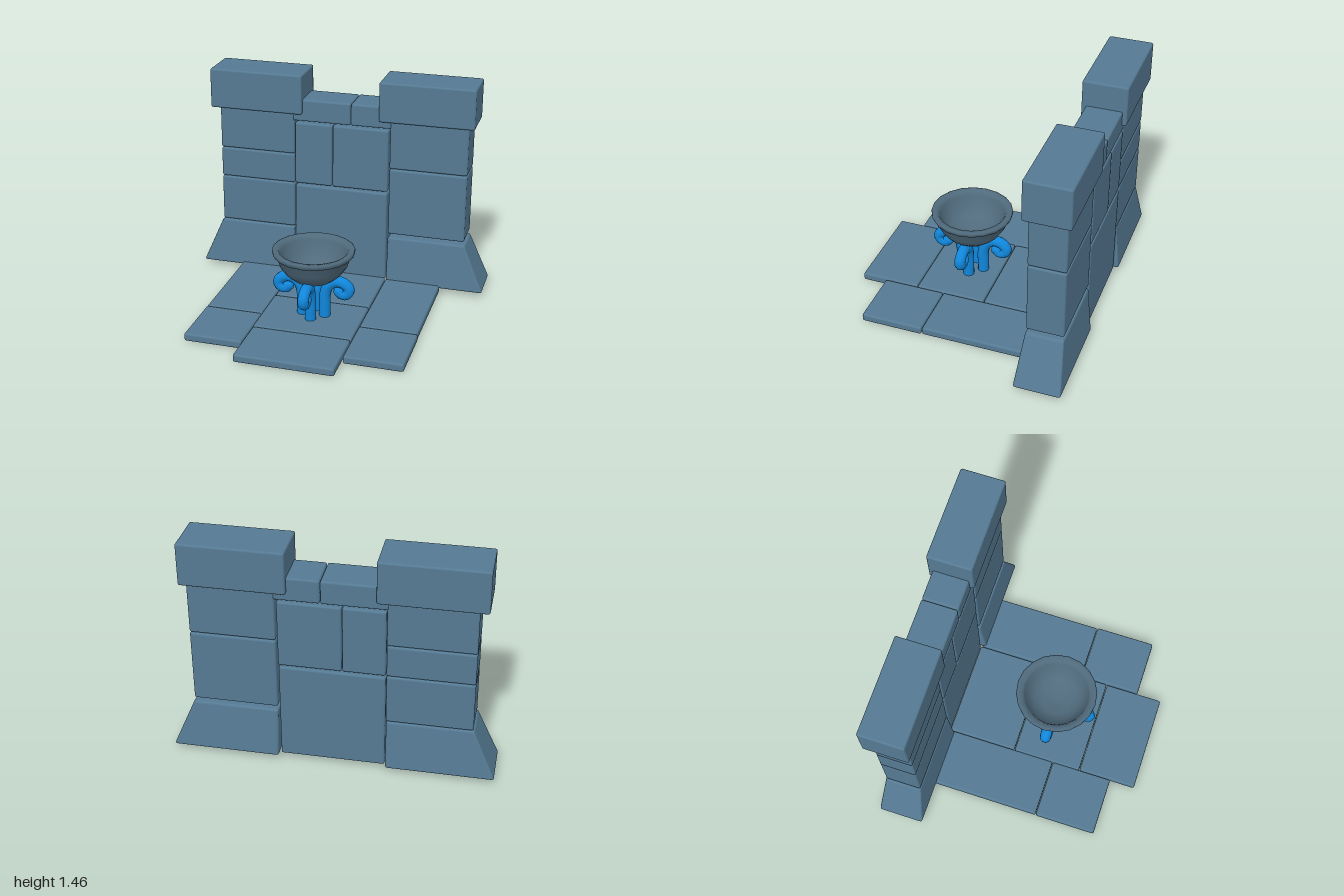
import * as THREE from 'three';
import { RoundedBoxGeometry } from 'three/addons/geometries/RoundedBoxGeometry.js';

export function createModel() {
  const model = new THREE.Group();
  model.name = 'brazierShrine';

  const material = (name, color) => {
    const m = new THREE.MeshStandardMaterial({ color });
    m.name = name;
    return m;
  };
  const stone = material('blue grey stone', 0x557a93);
  const iron = material('dark bowl', 0x506b7d);
  const blue = material('bright blue legs', 0x1087dc);

  const add = (parent, name, geometry, mat) => {
    const mesh = new THREE.Mesh(geometry, mat);
    mesh.name = name;
    parent.add(mesh);
    return mesh;
  };

  // Bevelled stone block given by its limits on each axis
  const block = (parent, name, x0, x1, y0, y1, z0, z1) => {
    const mesh = add(parent, name,
      new RoundedBoxGeometry(x1 - x0, y1 - y0, z1 - z0, 2, 0.013), stone);
    mesh.position.set((x0 + x1) / 2, (y0 + y1) / 2, (z0 + z1) / 2);
    return mesh;
  };

  // Floor slabs: x0, x1, z0, z1
  const floor = new THREE.Group();
  floor.name = 'floor';
  model.add(floor);
  [
    [-0.708, -0.328, -0.52, 0.212],
    [-0.71, -0.328, 0.216, 0.622],
    [0.328, 0.706, -0.52, 0.212],
    [0.328, 0.71, 0.216, 0.622],
    [-0.324, 0.322, -0.525, -0.065],
    [-0.328, 0.322, -0.06, 0.4],
    [-0.324, 0.32, 0.404, 0.79],
  ].forEach(([x0, x1, z0, z1]) => block(floor, 'floorSlab', x0, x1, 0.005, 0.058, z0, z1));

  // Wall stones: name, x0, x1, y0, y1
  const wall = new THREE.Group();
  wall.name = 'wall';
  model.add(wall);
  [
    ['columnStone', -0.855, -0.329, 0.9, 1.187],
    ['columnStone', -0.855, -0.329, 0.69, 0.896],
    ['columnStone', -0.855, -0.329, 0.366, 0.686],
    ['columnStone', 0.332, 0.856, 0.86, 1.19],
    ['columnStone', 0.332, 0.856, 0.388, 0.855],
    ['lowerPanel', -0.325, 0.32, 0.04, 0.677],
    ['upperPanel', -0.325, -0.066, 0.69, 1.125],
    ['upperPanel', -0.062, 0.322, 0.69, 1.125],
    ['lintelStone', -0.34, 0.06, 1.138, 1.288],
    ['lintelStone', 0.063, 0.34, 1.138, 1.288],
  ].forEach(([name, x0, x1, y0, y1]) => block(wall, name, x0, x1, y0, y1, -0.761, -0.525));

  // Overhanging cap stones
  block(wall, 'capStone', -0.912, -0.27, 1.189, 1.46, -0.79, -0.496);
  block(wall, 'capStone', 0.258, 0.896, 1.189, 1.46, -0.79, -0.496);

  // Splayed feet: widen the lower end outwards, forwards and backwards
  for (const side of [-1, 1]) {
    const inner = 0.331, outer = 0.86, y0 = 0.038, y1 = 0.362;
    const foot = block(wall, 'splayedFoot', side < 0 ? -outer : inner,
      side < 0 ? -inner : outer, y0, y1, -0.761, -0.522);
    const p = foot.geometry.attributes.position;
    const w = outer - inner, d = 0.239, h = y1 - y0;
    for (let i = 0; i < p.count; i++) {
      const t = 0.5 - p.getY(i) / h;
      const out = side * p.getX(i) / w + 0.5;
      p.setX(i, p.getX(i) + side * t * out * 0.14);
      p.setZ(i, p.getZ(i) * (1 + t * 0.062 / d));
      p.setZ(i, p.getZ(i) - t * 0.001);
    }
    foot.geometry.computeVertexNormals();
  }

  // Brazier
  const brazier = new THREE.Group();
  brazier.name = 'brazier';
  brazier.position.set(0, 0, 0.13);
  model.add(brazier);

  // Bowl: outside from the bottom up, over the rim, and down the inside
  const profile = [
    [0, 0.285], [0.07, 0.292], [0.13, 0.318], [0.185, 0.365], [0.222, 0.42], [0.243, 0.485],
    [0.258, 0.487], [0.266, 0.503], [0.266, 0.518], [0.255, 0.523], [0.225, 0.516],
    [0.212, 0.49], [0.19, 0.425], [0.15, 0.375], [0.09, 0.345], [0, 0.335],
  ].map(([x, y]) => new THREE.Vector2(x, y));
  add(brazier, 'bowl', new THREE.LatheGeometry(profile, 20), iron);

  // Four scrolled legs
  const path = new THREE.CatmullRomCurve3([
    [0.075, 0.045], [0.075, 0.13], [0.077, 0.21], [0.098, 0.272], [0.145, 0.307],
    [0.2, 0.302], [0.236, 0.267], [0.228, 0.236], [0.196, 0.222], [0.168, 0.242],
  ].map(([x, y]) => new THREE.Vector3(x, y, 0)));
  const legGeometry = new THREE.TubeGeometry(path, 36, 0.037, 10);
  const tipGeometry = new THREE.SphereGeometry(0.036, 10, 8);
  for (let i = 0; i < 4; i++) {
    const leg = new THREE.Group();
    leg.name = 'scrollLeg';
    leg.rotation.y = i * Math.PI / 2;
    add(leg, 'legTube', legGeometry, blue);
    const tip = add(leg, 'scrollTip', tipGeometry, blue);
    tip.position.set(0.168, 0.242, 0);
    tip.scale.setScalar(0.98);
    brazier.add(leg);
  }

  return model;
}
